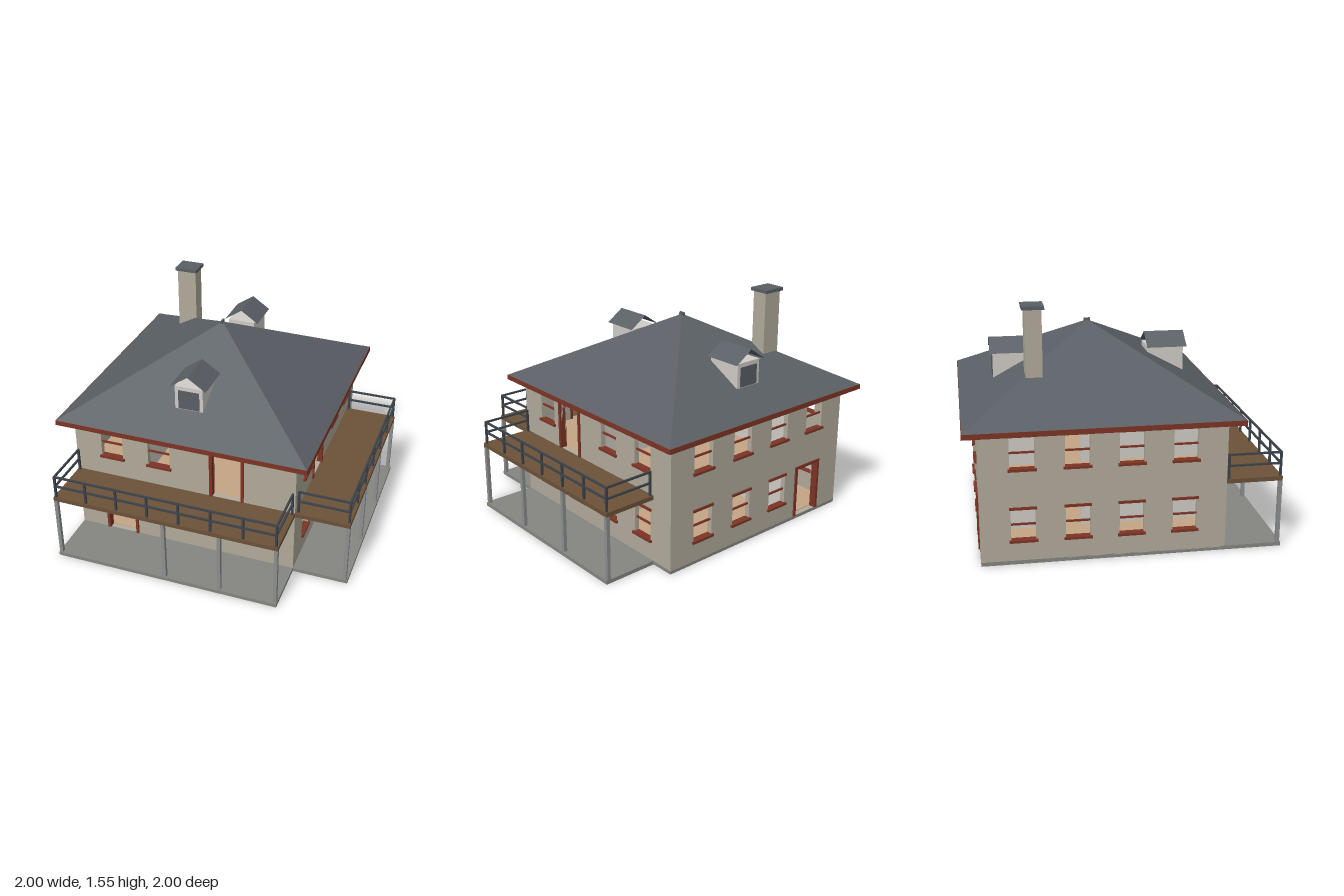
import * as THREE from 'three';

const mat = (name, color, side = THREE.FrontSide) => {
  const m = new THREE.MeshStandardMaterial({ color, side });
  m.name = name;
  return m;
};

export function createModel() {
  const stone = mat('wallStone', 0xb0aa9a);
  const slate = mat('roofSlate', 0x5a5f65, THREE.DoubleSide);
  const trim = mat('redTrim', 0x7c3425);
  const wood = mat('deckWood', 0x6b5139);
  const metal = mat('railMetal', 0x3c434a);
  const post = mat('postGrey', 0x8c8e8e);
  const slab = mat('slabGrey', 0x858580);
  const plaster = mat('plaster', 0xd0ccc6);
  const floorTan = mat('floorTan', 0xc4a484);

  const model = new THREE.Group();
  model.name = 'house';

  // Box from its minimum and maximum corners
  const box = (parent, name, m, x0, x1, y0, y1, z0, z1) => {
    const mesh = new THREE.Mesh(new THREE.BoxGeometry(x1 - x0, y1 - y0, z1 - z0), m);
    mesh.position.set((x0 + x1) / 2, (y0 + y1) / 2, (z0 + z1) / 2);
    mesh.name = name;
    parent.add(mesh);
    return mesh;
  };

  const C = -0.14, H = 0.77, T = 0.035; // house centre, half width, wall thickness
  const lo = C - H, hi = C + H;

  // Ground slabs
  box(model, 'houseSlab', slab, lo, hi, 0.01, 0.035, lo, hi);
  box(model, 'frontPorchSlab', slab, lo, hi, 0.01, 0.035, hi, 1);
  box(model, 'sidePorchSlab', slab, hi, 1, 0.01, 0.035, -0.75, hi);

  // Walls with window and door openings
  const cols = [-0.505, -0.168, 0.168, 0.505];
  const floors = [{ sill: 0.17, door: 0.035, top: 0.385 }, { sill: 0.635, door: 0.49, top: 0.855 }];
  const rect = (Type, x0, x1, y0, y1) => {
    const p = new Type();
    p.moveTo(x0, y0).lineTo(x1, y0).lineTo(x1, y1).lineTo(x0, y1).closePath();
    return p;
  };

  function addWall(name, angle, half, windows, doors) {
    const g = new THREE.Group();
    g.name = name;
    g.position.set(C, 0, C);
    g.rotation.y = angle;
    const shape = rect(THREE.Shape, -half, half, 0.03, 0.88);
    floors.forEach((f, i) => {
      for (const u of windows[i]) {
        const y = f.sill, w = 0.077;
        shape.holes.push(rect(THREE.Path, u - w, u + w, y, y + 0.205));
        box(g, 'windowSill', trim, u - 0.088, u + 0.088, y - 0.013, y + 0.003, H - T, H + 0.014);
        box(g, 'windowLintel', trim, u - 0.085, u + 0.085, y + 0.203, y + 0.219, H - T, H + 0.01);
        box(g, 'windowBar', trim, u - w, u + w, y + 0.095, y + 0.106, H - 0.024, H - 0.012);
      }
      for (const u of doors[i]) {
        const w = 0.098;
        shape.holes.push(rect(THREE.Path, u - w, u + w, f.door, f.top));
        for (const s of [-1, 1]) {
          const a = u + s * w, b = u + s * (w + 0.02);
          box(g, 'doorJamb', trim, Math.min(a, b), Math.max(a, b), f.door, f.top, H - T - 0.003, H + 0.01);
        }
        box(g, 'doorHead', trim, u - w - 0.02, u + w + 0.02, f.top - 0.003, f.top + 0.016, H - T - 0.003, H + 0.01);
      }
    });
    const geo = new THREE.ExtrudeGeometry(shape, { depth: T, bevelEnabled: false });
    geo.translate(0, 0, H - T);
    const wall = new THREE.Mesh(geo, stone);
    wall.name = name + 'Panel';
    g.add(wall);
    model.add(g);
  }
  const [a, b, c, d] = cols;
  addWall('frontWall', 0, H, [[b, c, d], [a, b]], [[-0.46], [0.305]]);
  addWall('sideWallPorch', Math.PI / 2, H - T, [cols, [a, c, d]], [[], [-0.25]]);
  addWall('backWall', Math.PI, H, [[a, b, c], cols], [[0.46], []]);
  addWall('sideWallPlain', -Math.PI / 2, H - T, [cols, cols], [[], []]);

  // Interior floors, ceilings and partitions
  const i0 = lo + T, i1 = hi - T;
  [[0.036, 0.455], [0.485, 0.865]].forEach(([y0, y1]) => {
    box(model, 'roomFloor', floorTan, i0, i1, y0 - 0.002, y0 + 0.004, i0, i1);
    box(model, 'ceiling', plaster, i0, i1, y1 - 0.005, y1 + 0.005, i0, i1);
    box(model, 'crossPartition', plaster, -0.43, i1, y0, y1, -0.16, -0.13);
    box(model, 'hallPartition', plaster, -0.45, -0.43, y0, y1, -0.23, i1);
    box(model, 'hallPartition', plaster, -0.45, -0.43, y0, y1, i0, -0.36);
  });

  // Hipped roof over a painted eave
  box(model, 'eave', trim, -1, 0.72, 0.867, 0.9, -1, 0.72);
  const roofGeo = new THREE.ConeGeometry(0.857 * Math.SQRT2, 0.468, 4, 1, true).rotateY(Math.PI / 4).toNonIndexed();
  roofGeo.computeVertexNormals();
  const roof = new THREE.Mesh(roofGeo, slate);
  roof.name = 'roof';
  roof.position.set(C, 0.9 + 0.234, C);
  model.add(roof);
  box(model, 'roofCap', slate, C - 0.007, C + 0.007, 1.355, 1.38, C - 0.02, C + 0.02);

  // Chimney
  box(model, 'chimney', stone, -0.605, -0.47, 0.95, 1.54, -0.588, -0.482);
  box(model, 'chimneyCap', slate, -0.617, -0.458, 1.54, 1.562, -0.605, -0.466);

  // Dormers, mirrored front to back
  for (const angle of [0, Math.PI]) {
    const g = new THREE.Group();
    g.name = 'dormer';
    g.position.set(C, 0, C);
    g.rotation.y = angle;
    box(g, 'dormerBox', plaster, -0.096, 0.096, 1.025, 1.19, 0.39, 0.632);
    box(g, 'dormerWindow', slate, -0.072, 0.072, 1.03, 1.162, 0.63, 0.636);
    for (const s of [-1, 1]) {
      const slope = new THREE.PlaneGeometry(Math.hypot(0.124, 0.085), 0.267);
      slope.rotateX(-Math.PI / 2).rotateZ(-s * Math.atan2(0.085, 0.124));
      const mesh = new THREE.Mesh(slope, slate);
      mesh.position.set(s * 0.062, 1.2315, 0.518);
      mesh.name = 'dormerRoof';
      g.add(mesh);
    }
    model.add(g);
  }

  // Balcony decks and their columns
  box(model, 'frontDeck', wood, lo, hi, 0.46, 0.488, hi, 0.992);
  box(model, 'sideDeck', wood, hi, 0.992, 0.46, 0.488, -0.75, hi);
  const column = (x, z) => box(model, 'column', post, x - 0.012, x + 0.012, 0.03, 0.462, z - 0.012, z + 0.012);
  for (const x of [-0.897, -0.14, 0.24, 0.617]) column(x, 0.98);
  for (const z of [0.617, 0.17, -0.287, -0.737]) column(0.98, z);

  // Railings: two bars and evenly spaced posts between two points
  function railing(x0, z0, x1, z1, n) {
    const r = 0.006;
    for (const y of [0.572, 0.645])
      box(model, 'railBar', metal, Math.min(x0, x1) - r, Math.max(x0, x1) + r, y - r, y + r,
        Math.min(z0, z1) - r, Math.max(z0, z1) + r);
    for (let i = 0; i <= n; i++) {
      const x = x0 + (x1 - x0) * i / n, z = z0 + (z1 - z0) * i / n;
      box(model, 'railPost', metal, x - 0.007, x + 0.007, 0.485, 0.645, z - 0.007, z + 0.007);
    }
  }
  railing(-0.895, 0.98, 0.615, 0.98, 7);
  railing(-0.895, 0.645, -0.895, 0.98, 1);
  railing(0.615, 0.645, 0.615, 0.98, 1);
  railing(0.98, 0.605, 0.98, -0.735, 6);
  railing(0.645, 0.605, 0.98, 0.605, 1);
  railing(0.645, -0.735, 0.98, -0.735, 1);

  return model;
}
